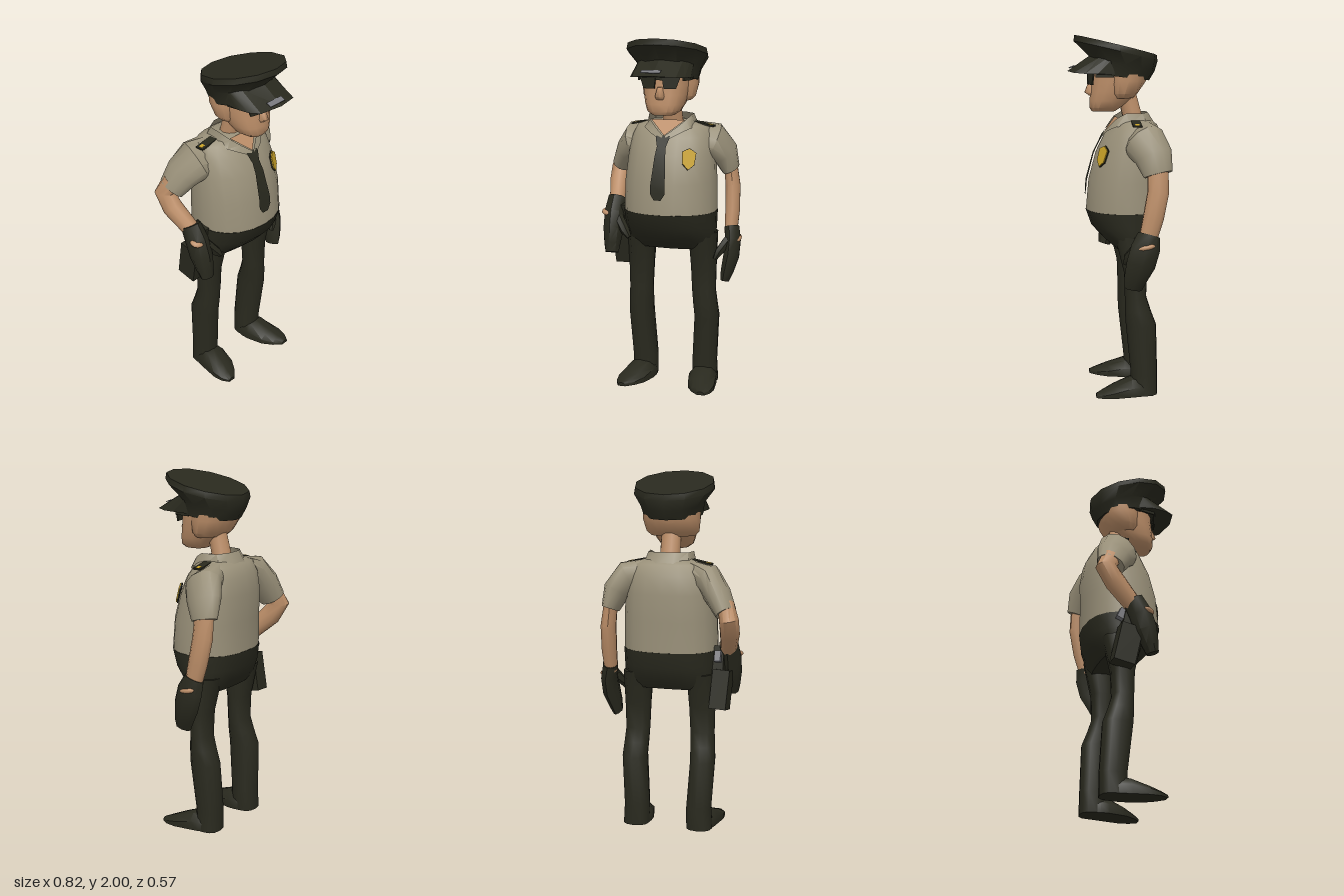
import * as THREE from 'three';
import { toCreasedNormals } from 'three/addons/utils/BufferGeometryUtils.js';

const mat = (name, color, side = THREE.FrontSide) => {
  const m = new THREE.MeshStandardMaterial({ color, side });
  m.name = name;
  return m;
};
const CX = 0.013; // body axis

// Skin closed rings of [x, y, z] points into a capped solid.
function loft(rings, crease = 0.8) {
  const n = rings[0].length, tris = [];
  for (let i = 0; i < rings.length - 1; i++) for (let j = 0; j < n; j++) {
    const k = (j + 1) % n, a = rings[i][j], b = rings[i][k], c = rings[i + 1][k], d = rings[i + 1][j];
    tris.push([a, b, c], [a, c, d]);
  }
  const mid = r => [0, 1, 2].map(k => r.reduce((s, p) => s + p[k], 0) / n);
  const first = rings[0], last = rings[rings.length - 1], m0 = mid(first), m1 = mid(last);
  for (let j = 0; j < n; j++) {
    const k = (j + 1) % n;
    tris.push([m0, first[k], first[j]], [m1, last[j], last[k]]);
  }
  const V = p => new THREE.Vector3(...p);
  const vol = tris.reduce((s, t) => s + V(t[0]).dot(V(t[1]).cross(V(t[2]))), 0);
  return surface(tris.map(t => vol < 0 ? [t[0], t[2], t[1]] : t), crease);
}

function surface(tris, crease = 0.8) {
  const g = new THREE.BufferGeometry();
  g.setAttribute('position', new THREE.Float32BufferAttribute(tris.flat(2), 3));
  return toCreasedNormals(g, crease);
}

// Open sheet between two matching edges.
function strip(a, b) {
  const tris = [];
  for (let i = 0; i < a.length - 1; i++) tris.push([a[i], b[i], b[i + 1]], [a[i], b[i + 1], a[i + 1]]);
  return surface(tris);
}

// Horizontal rounded section: height, half width, front z, back z; squareness of front and back.
function level([y, hw, zf, zb], cx = CX, n = 20, front = 2.05, back = 2.5) {
  const pw = (v, e) => Math.sign(v) * Math.abs(v) ** (2 / e);
  return Array.from({ length: n }, (_, i) => {
    const a = (i / n) * Math.PI * 2, e = Math.sin(a) > 0 ? front : back;
    return [cx + hw * pw(Math.cos(a), e), y, (zf + zb) / 2 + (zf - zb) / 2 * pw(Math.sin(a), e)];
  });
}

// Limb through points [x, y, z, sideways radius, fore-aft radius].
function limb(pts, n = 10) {
  const P = pts.map(p => new THREE.Vector3(p[0], p[1], p[2]));
  return loft(pts.map((p, i) => {
    const t = P[Math.min(i + 1, P.length - 1)].clone().sub(P[Math.max(i - 1, 0)]).normalize();
    const u = new THREE.Vector3(1, 0, 0).addScaledVector(t, -t.x).normalize();
    const v = t.clone().cross(u);
    return Array.from({ length: n }, (_, j) => {
      const a = (j / n) * Math.PI * 2;
      return P[i].clone().addScaledVector(u, p[3] * Math.cos(a)).addScaledVector(v, p[4] * Math.sin(a)).toArray();
    });
  }));
}

function plate(points, depth = 0.008) {
  return new THREE.ExtrudeGeometry(new THREE.Shape(points.map(p => new THREE.Vector2(...p))), { depth, bevelEnabled: false });
}

export function createModel() {
  const model = new THREE.Group();
  const dark = mat('darkUniform', 0x29291e), darkSheet = mat('darkCloth', 0x29291e, THREE.DoubleSide);
  const shirt = mat('khakiShirt', 0x999079), shirtSheet = mat('khakiCollar', 0x999079, THREE.DoubleSide);
  const skin = mat('skin', 0xbc8e68), skinSheet = mat('skinNeckline', 0xbc8e68, THREE.DoubleSide);
  const gold = mat('gold', 0xc9a227), grey = mat('grey', 0x77777c);
  const add = (name, geo, m, pos = [0, 0, 0], rot = [0, 0, 0]) => {
    const mesh = new THREE.Mesh(geo, m);
    mesh.name = name;
    mesh.position.set(...pos);
    mesh.rotation.set(...rot);
    model.add(mesh);
    return mesh;
  };
  const box = (name, size, m, pos, rot) => add(name, new THREE.BoxGeometry(...size), m, pos, rot);

  // Torso and pelvis
  const torso = [[1.03, .265, .185, -.25], [1.2, .262, .17, -.25], [1.35, .25, .13, -.255],
    [1.45, .235, .08, -.24], [1.51, .21, .03, -.21], [1.535, .13, .01, -.17]];
  add('shirt', loft(torso.map(r => level(r))), shirt);
  add('pelvis', loft([[.81, .245, .02, -.165], [.87, .258, .09, -.21], [.94, .263, .155, -.24], [1.03, .268, .187, -.252]]
    .map(r => level(r))), dark);

  // Legs and shoes
  for (const s of [-1, 1]) {
    const side = s > 0 ? 'left' : 'right';
    const leg = [[0, .187, .075, -.05, -.2], [.12, .183, .072, -.05, -.2], [.4, .2, .07, -.02, -.19], [.48, .195, .07, -.015, -.16],
      [.56, .19, .07, -.015, -.135], [.7, .188, .075, -.01, -.14], [.9, .183, .08, .04, -.19]];
    add(side + 'Leg', loft(leg.map(([y, x, r, f, b]) => level([y, r, f, b], CX + s * x, 12, 2.2, 2.5))), dark);
    const foot = [[-.16, .182, .06, .06], [-.1, .187, .078, .1], [-.05, .192, .082, .1],
      [.05, .212, .078, .06], [.11, .228, .055, .035], [.15, .238, .022, .02]];
    add(side + 'Shoe', loft(foot.map(([z, x, w, h]) =>
      [[-1, 0], [1, 0], [1, .5], [.6, .9], [0, 1], [-.6, .9], [-1, .5]].map(([a, b]) => [CX + s * x + a * w, b * h, z]))), dark);
  }

  // Sleeves, arms and gloves: left hangs, right rests over the holster
  add('leftSleeve', limb([[.14, 1.43, -.1, .07, .11], [.245, 1.42, -.118, .088, .118], [.3, 1.35, -.16, .07, .104],
    [.328, 1.255, -.182, .047, .08]], 12), shirt);
  add('rightSleeve', limb([[-.11, 1.43, -.1, .07, .11], [-.22, 1.42, -.118, .088, .118], [-.28, 1.35, -.16, .075, .104],
    [-.334, 1.26, -.195, .06, .08]], 12), shirt);
  add('leftArm', limb([[.325, 1.3, -.18, .036, .058], [.342, 1.16, -.18, .043, .06], [.348, 1.02, -.153, .042, .058],
    [.348, .89, -.12, .036, .05]]), skin);
  add('rightArm', limb([[-.33, 1.31, -.19, .045, .058], [-.357, 1.23, -.228, .055, .06], [-.352, 1.15, -.175, .055, .06],
    [-.318, 1.03, -.05, .045, .05]]), skin);
  add('leftGlove', limb([[.35, .93, -.13, .044, .062], [.364, .86, -.11, .045, .08], [.362, .77, -.085, .045, .08],
    [.345, .68, -.055, .036, .062], [.335, .63, -.045, .024, .05]], 8), dark);
  add('leftThumb', limb([[.345, .86, -.07, .03, .035], [.305, .8, -.02, .024, .026], [.285, .76, -.01, .012, .014]], 6), dark);
  add('rightGlove', limb([[-.322, 1.07, -.065, .055, .062], [-.322, .99, -.02, .062, .07], [-.32, .9, .01, .062, .068],
    [-.318, .82, .035, .05, .05], [-.315, .77, .05, .04, .035]], 8), dark);
  add('rightThumb', limb([[-.29, .97, .01, .03, .032], [-.235, .9, .045, .026, .026], [-.208, .865, .05, .014, .014]], 6), dark);
  const opening = new THREE.SphereGeometry(1, 12, 8);
  add('leftGloveOpening', opening, skin, [.387, .868, -.112], [.2, 0, 0]).scale.set(.026, .018, .05);
  add('rightGloveOpening', opening, skin, [-.352, 1, .012], [.3, -.6, 0]).scale.set(.04, .018, .034);

  // Holster and pistol grip
  box('holster', [.095, .22, .12], dark, [-.287, .81, -.09], [.2, 0, .06]);
  box('holsterFlap', [.06, .16, .09], dark, [-.27, .97, -.06], [.2, 0, 0]);
  box('pistolGrip', [.035, .06, .045], grey, [-.272, 1, -.11], [.4, 0, 0]);

  // Neckline, collar
  add('neck', limb([[CX, 1.46, -.1, .065, .06], [CX, 1.56, -.075, .058, .055], [CX, 1.7, -.04, .056, .052]]), skin);
  add('neckline', surface([[[CX - .1, 1.545, .01], [CX, 1.462, .084], [CX + .1, 1.545, .01]]]), skinSheet);
  const mirrored = half => [...half.map(p => [CX - p[0], p[1], p[2]]), ...half.slice().reverse().map(p => [CX + p[0], p[1], p[2]])];
  add('collar', strip(
    mirrored([[.005, 1.462, .088], [.06, 1.505, .053], [.104, 1.545, .018], [.125, 1.572, -.03], [.112, 1.572, -.12], [.05, 1.575, -.158]]),
    mirrored([[.02, 1.44, .094], [.085, 1.475, .07], [.135, 1.5, .025], [.145, 1.505, -.05], [.13, 1.51, -.15], [.05, 1.51, -.2]])), shirtSheet);

  // Tie following the belly
  const front = y => {
    const i = Math.max(1, torso.findIndex(r => r[0] >= y)), a = torso[i - 1], b = torso[i];
    return a[2] + (b[2] - a[2]) * (y - a[0]) / (b[0] - a[0]) + .012;
  };
  const tie = [[1.462, .04], [1.45, .04], [1.405, .026], [1.35, .031], [1.2, .042], [1.15, .043], [1.115, .02]];
  const edge = s => tie.map(([y, w]) => [.008 + s * w, y, front(y)]);
  add('tie', strip(edge(-1), edge(1)), darkSheet);

  // Chest badge with dark rim
  const shield = [[0, -.06], [.032, -.03], [.038, .035], [.022, .045], [0, .056], [-.022, .045], [-.038, .035], [-.032, -.03]];
  add('badgeRim', plate(shield.map(p => p.map(v => v * 1.06))), dark, [.16, 1.34, .098], [-.27, .5, 0]);
  add('badge', plate(shield), gold, [.162, 1.341, .103], [-.27, .5, 0]);

  // Shoulder straps
  for (const s of [-1, 1]) {
    box('shoulderStrap', [.11, .009, .05], dark, [CX + s * .188, 1.518, -.08], [0, 0, -s * .2]);
    box('strapMark', [.026, .004, .022], gold, [CX + s * .222, 1.515, -.08], [0, 0, -s * .2]);
  }

  // Narrow face, wider skull behind it, nose
  add('face', loft([[1.58, .06, .15, .02], [1.6, .09, .163, -.01], [1.64, .108, .163, -.06], [1.69, .122, .157, -.11],
    [1.74, .13, .152, -.15], [1.83, .135, .145, -.155]].map(r => level(r, CX, 16, 2.5))), skin);
  add('skull', loft([[1.655, .125, .05, -.08], [1.68, .152, .065, -.105], [1.75, .164, .075, -.155], [1.83, .164, .075, -.16]]
    .map(r => level(r, CX, 16, 2.2, 2.2))), skin);
  add('nose', loft([[1.668, .024, .168, .12], [1.685, .026, .192, .12], [1.735, .014, .172, .12]].map(r => level(r, CX, 10, 2, 2)), 1.4), skin);

  // Sunglasses
  for (const s of [-1, 1]) {
    add('lens', plate([[-.052, .036], [-.034 - s * .008, -.032], [.034 - s * .008, -.032], [.052, .036]]), dark,
      [CX + s * .066, 1.76, .155], [0, s * .24, 0]);
    box('templeArm', [.008, .02, .1], dark, [CX + s * .138, 1.78, .09], [0, -s * .2, 0]);
  }
  box('glassesBridge', [.06, .016, .012], dark, [CX, 1.782, .166]);

  // Cap: tilted twelve-sided crown with a wedge visor
  const capRing = ([y, slope, rx, rz, cz]) => Array.from({ length: 12 }, (_, i) => {
    const a = (i / 12) * Math.PI * 2, z = cz + rz * Math.cos(a);
    return [CX + rx * Math.sin(a), y + slope * z, z];
  });
  add('capCrown', loft([[1.772, .13, .168, .167, -.005], [1.845, .22, .182, .183, -.02],
    [1.908, .235, .23, .235, .015], [1.941, .24, .222, .23, .015]].map(capRing)), dark);
  const visor = [[-.168, .13, 1.79], [-.155, .2, 1.79], [-.125, .258, 1.795], [0, .285, 1.802], [.125, .258, 1.795], [.155, .2, 1.79], [.168, .13, 1.79]];
  add('capVisor', loft(visor.map(([x, z, y]) => {
    const inner = Math.sqrt(.17 ** 2 - (x * .95) ** 2) - .012;
    return [[CX + x * .95, 1.865 + .15 * inner, inner], [CX + x, y, z], [CX + x * .95, 1.785, inner - .01]];
  }), 0.4), dark);
  box('visorBadge', [.11, .003, .032], grey, [-.003, 1.825, .259], [.4, 0, 0]);
  return model;
}
